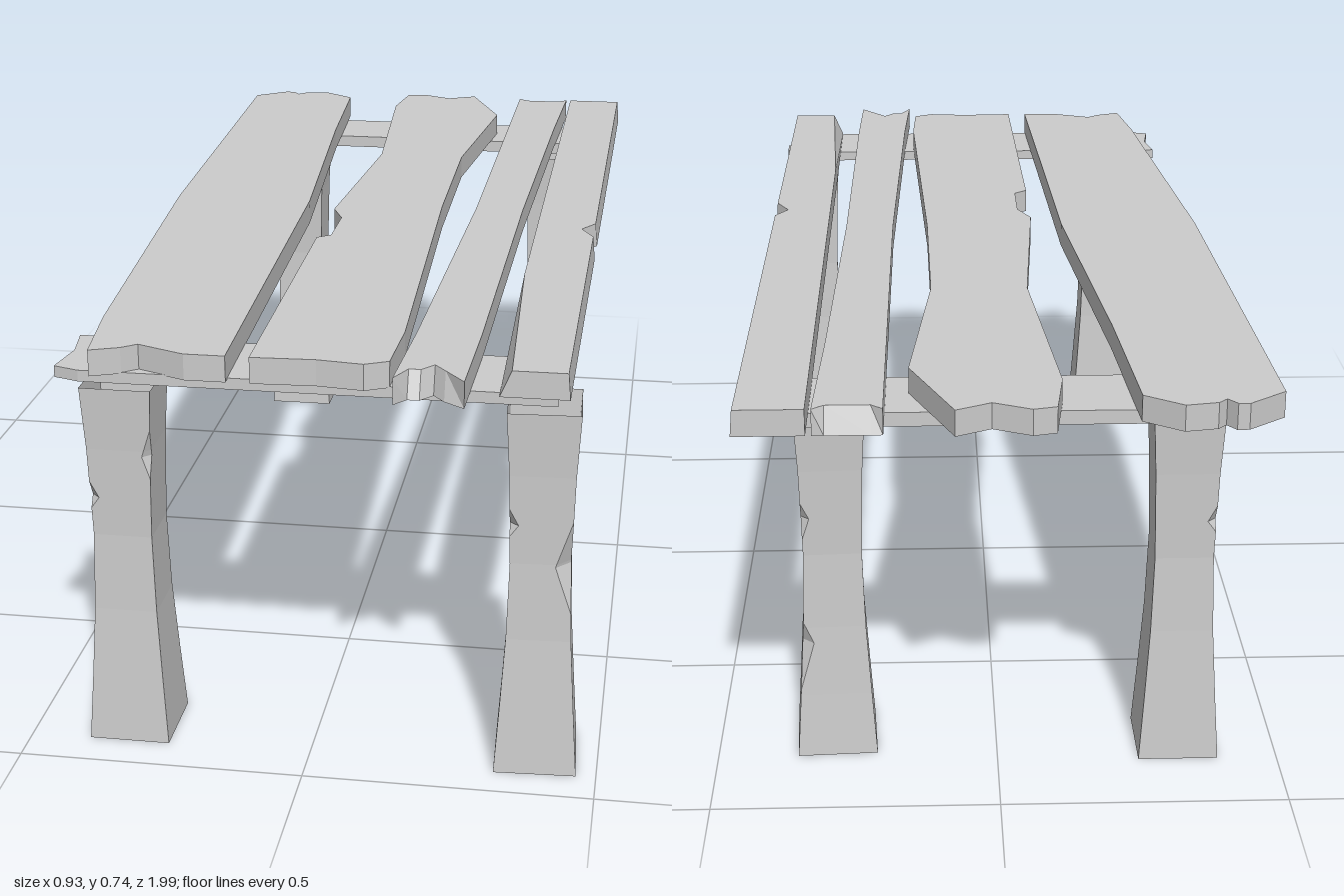
import * as THREE from 'three';

const material = new THREE.MeshStandardMaterial({ color: 0xcccccc, flatShading: true, side: THREE.DoubleSide });

// Board cut from an [x, z] outline between two heights; shiftTop moves top corners to fake splintered edges
function board(name, outline, y0, y1, shiftTop) {
  const shape = new THREE.Shape(outline.map(([x, z]) => new THREE.Vector2(x, -z)));
  const geo = new THREE.ExtrudeGeometry(shape, { depth: y1 - y0, bevelEnabled: false });
  geo.rotateX(-Math.PI / 2).translate(0, y0, 0);
  if (shiftTop) {
    const p = geo.attributes.position;
    for (let i = 0; i < p.count; i++) {
      if (p.getY(i) < (y0 + y1) / 2) continue;
      const [dx, dz] = shiftTop(p.getX(i), p.getZ(i));
      p.setXYZ(i, p.getX(i) + dx, p.getY(i), p.getZ(i) + dz);
    }
    geo.computeVertexNormals();
  }
  const mesh = new THREE.Mesh(geo, material);
  mesh.name = name;
  return mesh;
}

// Half width of a leg at each height: wide foot, narrow waist
const LEG = [[0, 0.071], [0.12, 0.063], [0.25, 0.055], [0.39, 0.051], [0.55, 0.055], [0.662, 0.061]];
const CORNERS = [[1, 1], [1, -1], [-1, -1], [-1, 1]];

function halfWidth(y) {
  const i = Math.max(1, LEG.findIndex(([h]) => h >= y));
  const [[ya, a], [yb, b]] = [LEG[i - 1], LEG[i]];
  return a + (b - a) * (y - ya) / (yb - ya);
}

// Open square leg; every corner is a pair of points that part where a chip is cut out
function leg(name, x, z, turn, chips) {
  const heights = new Set(LEG.map(([y]) => y));
  chips.forEach(c => [c.from, c.at, c.to].forEach(y => heights.add(y)));
  const rings = [...heights].sort((a, b) => a - b);
  const pos = [], index = [];
  for (const y of rings) {
    const h = halfWidth(y);
    CORNERS.forEach(([sx, sz], k) => {
      let cut = 0;
      for (const c of chips) {
        if (c.corner !== k || y <= c.from || y >= c.to) continue;
        cut = c.depth * (y < c.at ? (y - c.from) / (c.at - c.from) : (c.to - y) / (c.to - c.at));
      }
      const alongX = [sx * (h - cut), y, sz * h], alongZ = [sx * h, y, sz * (h - cut)];
      pos.push(...(k % 2 ? [...alongZ, ...alongX] : [...alongX, ...alongZ]));
    });
  }
  for (let r = 0; r < rings.length - 1; r++) {
    for (let k = 0; k < 8; k++) {
      const a = r * 8 + k, b = r * 8 + (k + 1) % 8;
      index.push(a, b, b + 8, a, b + 8, a + 8);
    }
  }
  const geo = new THREE.BufferGeometry();
  geo.setAttribute('position', new THREE.Float32BufferAttribute(pos, 3));
  geo.setIndex(index);
  geo.computeVertexNormals();
  const mesh = new THREE.Mesh(geo, material);
  mesh.name = name;
  mesh.position.set(x, 0, z);
  mesh.rotation.y = turn;
  return mesh;
}

export function createModel() {
  const group = new THREE.Group();
  group.name = 'plankTable';
  const low = 0.69, high = 0.736;

  // Table top: four rough planks
  group.add(
    board('widePlank', [
      [-0.465, -0.935], [-0.4, -0.985], [-0.38, -0.985], [-0.365, -0.965], [-0.35, -0.98], [-0.295, -0.99],
      [-0.23, -0.945], [-0.21, -0.61], [-0.16, 0], [-0.13, 0.93], [-0.2, 0.93], [-0.285, 0.895],
      [-0.31, 0.915], [-0.36, 0.935], [-0.38, 0.77], [-0.435, 0]], low, high),
    board('middlePlank', [
      [-0.09, -0.99], [-0.05, -1], [0.015, -0.97], [0.075, -1], [0.15, -0.81], [0.11, -0.4], [0.115, 0],
      [0.145, 0.77], [0.14, 0.915], [0.1, 0.935], [0.02, 0.925], [-0.09, 0.93], [-0.1, 0.25],
      [-0.075, 0.23], [-0.075, 0.11], [-0.1, 0.05], [-0.07, -0.4], [-0.105, -0.87]], low, high),
    board('narrowPlank', [
      [0.19, -0.99], [0.21, -0.99], [0.285, -0.99], [0.305, -0.99], [0.295, -0.69], [0.28, 0], [0.275, 0.77],
      [0.27, 0.99], [0.235, 0.965], [0.215, 0.94], [0.195, 0.965], [0.175, 0.965], [0.155, 0.99],
      [0.165, 0.77], [0.185, 0]], low, high,
    (x, z) => [0, z < -0.98 && x > 0.2 && x < 0.3 ? 0.017 : z > 0.93 && z < 0.98 ? -0.02 : 0]),
    board('edgePlank', [
      [0.315, -0.99], [0.435, -0.99], [0.435, 0.08], [0.41, 0.12], [0.435, 0.17], [0.435, 0.93],
      [0.32, 0.93], [0.318, 0.42]], low, high,
    (x, z) => [x < 0.33 && z > 0.9 ? 0.02 : x > 0.4 ? -0.004 : 0, 0]),
  );

  // Cross battens under the planks
  group.add(
    board('frontBatten', [
      [-0.43, 0.745], [0.415, 0.745], [0.405, 0.82], [0.415, 0.915], [-0.385, 0.915], [-0.43, 0.9],
      [-0.418, 0.82]], 0.672, 0.692),
    board('backBatten', [
      [-0.42, -0.895], [0.41, -0.895], [0.41, -0.735], [-0.42, -0.735]], 0.665, 0.69),
  );

  // Legs with chipped corners (0 front left, 1 back left, 2 back right, 3 front right)
  group.add(
    leg('frontLeftLeg', 0.391, 0.866, 0.05, [
      { corner: 0, from: 0.3, at: 0.385, to: 0.47, depth: 0.026 },
      { corner: 3, from: 0.44, at: 0.46, to: 0.49, depth: 0.015 }]),
    leg('frontRightLeg', -0.323, 0.858, 0, [
      { corner: 0, from: 0.5, at: 0.54, to: 0.59, depth: 0.014 },
      { corner: 3, from: 0.44, at: 0.46, to: 0.49, depth: 0.015 }]),
    leg('backLeftLeg', 0.289, -0.759, 0.05, [
      { corner: 1, from: 0.13, at: 0.22, to: 0.26, depth: 0.02 },
      { corner: 1, from: 0.42, at: 0.46, to: 0.49, depth: 0.014 }]),
    leg('backRightLeg', -0.323, -0.791, 0, [
      { corner: 2, from: 0.44, at: 0.46, to: 0.49, depth: 0.015 }]),
  );
  return group;
}
